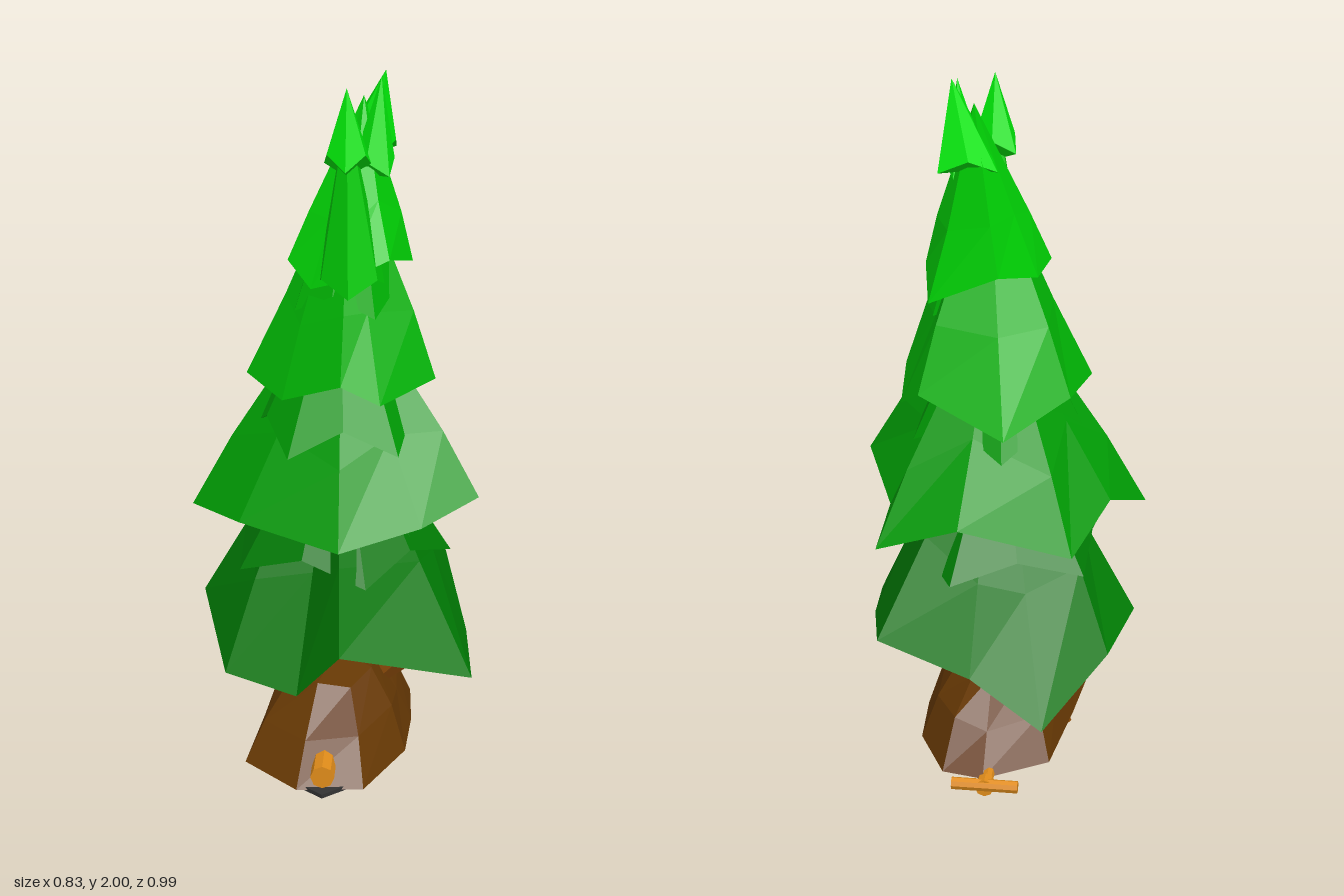
import * as THREE from 'three';

const mat = (name, color) => {
  const m = new THREE.MeshStandardMaterial({ color, flatShading: true, side: THREE.DoubleSide });
  m.name = name;
  return m;
};

// Loft through equal-length rings of [x, y, z], closed by a fan at top (and at bottom if given)
function loft(rings, top, bottom) {
  const pos = [];
  const tri = (...p) => p.forEach((v) => pos.push(...v));
  const n = rings[0].length;
  for (let i = 0; i < n; i++) {
    const j = (i + 1) % n;
    for (let k = 0; k + 1 < rings.length; k++) {
      const a = rings[k], b = rings[k + 1];
      tri(a[i], a[j], b[j]);
      tri(a[i], b[j], b[i]);
    }
    const last = rings[rings.length - 1];
    tri(last[i], last[j], top);
    if (bottom) tri(rings[0][j], rings[0][i], bottom);
  }
  const g = new THREE.BufferGeometry();
  g.setAttribute('position', new THREE.Float32BufferAttribute(pos, 3));
  g.computeVertexNormals();
  return g;
}

const mix = (a, b, t) => a.map((v, i) => v + (b[i] - v) * t);

export function createModel() {
  const model = new THREE.Group();
  const bark = mat('bark', 0x8a4a08);
  const soil = mat('soil', 0x663804);
  const wood = mat('wood', 0xe08c1a);
  const iron = mat('iron', 0x333333);
  const greens = [0x007c04, 0x009c04, 0x00b404, 0x00cc04, 0x00e808]
    .map((c, i) => mat('green' + (i + 1), c));

  const add = (name, geo, material, x = 0, y = 0, z = 0, parent = model) => {
    const m = new THREE.Mesh(geo, material);
    m.name = name;
    m.position.set(x, y, z);
    parent.add(m);
    return m;
  };

  // Foliage: ragged tiers, each a jagged rim, a shoulder and an apex, hollow below
  const tiers = [
    { apex: [0, 1.18, 0], rim: [[0.03, 0.43, 0.43], [0.4, 0.29, 0.24], [0.38, 0.33, 0], [0.31, 0.43, -0.36],
      [0.04, 0.34, -0.39], [-0.17, 0.2, -0.42], [-0.34, 0.36, -0.23], [-0.4, 0.42, -0.05], [-0.31, 0.29, 0.25], [-0.1, 0.25, 0.31]] },
    { apex: [0.01, 1.42, -0.02], rim: [[0.02, 0.7, 0.32], [0.25, 0.75, 0.24], [0.41, 0.81, 0.14], [0.31, 0.74, -0.1],
      [0.32, 0.69, -0.3], [0.08, 0.78, -0.34], [-0.24, 0.7, -0.31], [-0.33, 0.8, -0.12], [-0.42, 0.73, 0.04], [-0.27, 0.74, 0.2]] },
    { apex: [0.03, 1.78, -0.03], rim: [[0.02, 1.16, 0.22], [0.13, 1.1, 0.2], [0.28, 1.13, 0.04], [0.27, 1.07, -0.12],
      [0.2, 1.15, -0.25], [-0.05, 1.06, -0.34], [-0.22, 1.14, -0.19], [-0.26, 1.13, 0.02], [-0.15, 1.09, 0.14]] },
    { apex: [0.07, 1.93, -0.03], rim: [[0.03, 1.45, 0.16], [0.15, 1.5, 0.12], [0.21, 1.46, -0.02], [0.17, 1.42, -0.24],
      [-0.03, 1.52, -0.29], [-0.12, 1.47, -0.13], [-0.14, 1.47, 0.03], [-0.07, 1.41, 0.11]] },
  ];
  tiers.forEach(({ apex, rim }, i) => {
    const shoulder = rim.map((p, k) => {
      const q = mix(p, apex, k % 2 ? 0.36 : 0.3);
      const r = k % 2 ? 0.95 : 1.05;
      return [q[0] * r, q[1], q[2] * r];
    });
    const hollow = [apex[0], mix(rim[0], apex, 0.3)[1], apex[2]];
    add('foliageTier' + (i + 1), loft([rim, shoulder], apex, hollow), greens[i]);
  });

  // Star-shaped cones: apex, rim centre, radius, points, rim raggedness, depth of the underside
  const spike = (name, material, apex, c, r, n, turn, rag, under) => {
    const rim = Array.from({ length: n }, (_, k) => {
      const a = (k / n) * Math.PI * 2 + turn;
      const s = k % 2 ? r * 0.82 : r;
      return [c[0] + Math.sin(a) * s, c[1] + (k % 2 ? rag : -rag), c[2] + Math.cos(a) * s];
    });
    add(name, loft([rim], apex, [c[0], c[1] + under, c[2]]), material);
  };

  // Inner branches filling the gaps between the tiers
  spike('innerBranches', greens[0], [0, 1.1, 0], [0, 0.62, 0], 0.33, 10, 0.3, 0.03, 0.1);
  spike('innerBranches', greens[1], [0.01, 1.5, 0], [0.0, 0.99, 0.01], 0.265, 10, -0.5, 0.04, 0.08);
  spike('innerBranches', greens[2], [0.04, 1.85, 0], [0.03, 1.36, -0.02], 0.17, 8, 0.5, 0.03, 0.06);
  spike('frontBranches', greens[3], [0.03, 1.93, 0.1], [0.04, 1.43, 0.1], 0.11, 6, 0, 0.02, 0.06);

  // Sharp tufts at the top
  spike('topTuft', greens[4], [0.13, 2, -0.04], [0.085, 1.78, -0.075], 0.095, 6, 0.2, 0.02, -0.03);
  spike('topTuft', greens[4], [0.12, 1.99, 0], [0.1, 1.74, 0], 0.07, 6, 0.7, 0.02, -0.03);
  spike('topTuft', greens[4], [0.03, 1.98, 0.11], [0.03, 1.78, 0.1], 0.075, 6, 0, 0.02, -0.05);

  // Trunk, side roots and root collar
  add('trunk', new THREE.CylinderGeometry(0.055, 0.08, 0.72, 8), bark, 0, 0.39, 0);
  for (const side of [-1, 1]) {
    const root = add('sideRoot', new THREE.ConeGeometry(0.06, 0.28, 6), bark, side * 0.13, 0.185, 0);
    root.rotation.z = side * (Math.PI - 0.72);
  }
  const collar = [[0.14, 0.035], [0.14, 0], [0.215, 0], [0.2, 0.035]].map(([x, y]) => new THREE.Vector2(x, y));
  add('rootCollar', new THREE.LatheGeometry(collar, 8), bark).scale.z = 0.9;

  // Soil mound, open below
  const base = [[-0.09, 0.03, 0.46], [0.1, 0.03, 0.445], [0.21, 0.04, 0.22], [0.22, 0.03, 0], [0.21, 0.03, -0.2],
    [0.12, 0.03, -0.39], [0, 0.03, -0.415], [-0.18, 0.03, -0.3], [-0.22, 0.03, 0], [-0.25, 0.03, 0.3]];
  const middle = base.map(([x, y, z], i) => [x * 0.8, 0.13 + (i % 3) * 0.015, z * 0.77]);
  const crest = base.map(([x, y, z], i) => [x * 0.5, 0.25 - (i % 2) * 0.015, z * 0.48]);
  add('soilMound', loft([base, middle, crest], [0, 0.27, 0.03]), soil);

  // Spade half buried in the mound, grip to the back
  const spade = new THREE.Group();
  spade.name = 'spade';
  model.add(spade);
  const rod = (name, r, len, x, y, z, axis) => {
    const m = add(name, new THREE.CylinderGeometry(r, r, len, 8), wood, x, y, z, spade);
    m.rotation[axis] = Math.PI / 2;
  };
  rod('spadeShaft', 0.017, 0.7, -0.015, 0.035, -0.13, 'x');
  rod('spadeCollar', 0.026, 0.04, -0.015, 0.045, -0.47, 'x');
  rod('spadeGrip', 0.018, 0.19, -0.015, 0.05, -0.48, 'z');
  const outline = new THREE.Shape([[0, 0.495], [-0.075, 0.43], [-0.1, 0.34], [-0.085, 0.18], [0.085, 0.18], [0.1, 0.34], [0.075, 0.43]]
    .map(([x, z]) => new THREE.Vector2(x, z)));
  const blade = add('spadeBlade', new THREE.ExtrudeGeometry(outline, { depth: 0.012, bevelEnabled: false }), iron, -0.015, 0.036, 0, spade);
  blade.rotation.x = Math.PI / 2;

  // Cut peg sticking out at the front
  const peg = add('peg', new THREE.CylinderGeometry(0.034, 0.034, 0.26, 8), wood, -0.015, 0.08, 0.345);
  peg.rotation.x = Math.PI / 2;

  return model;
}
